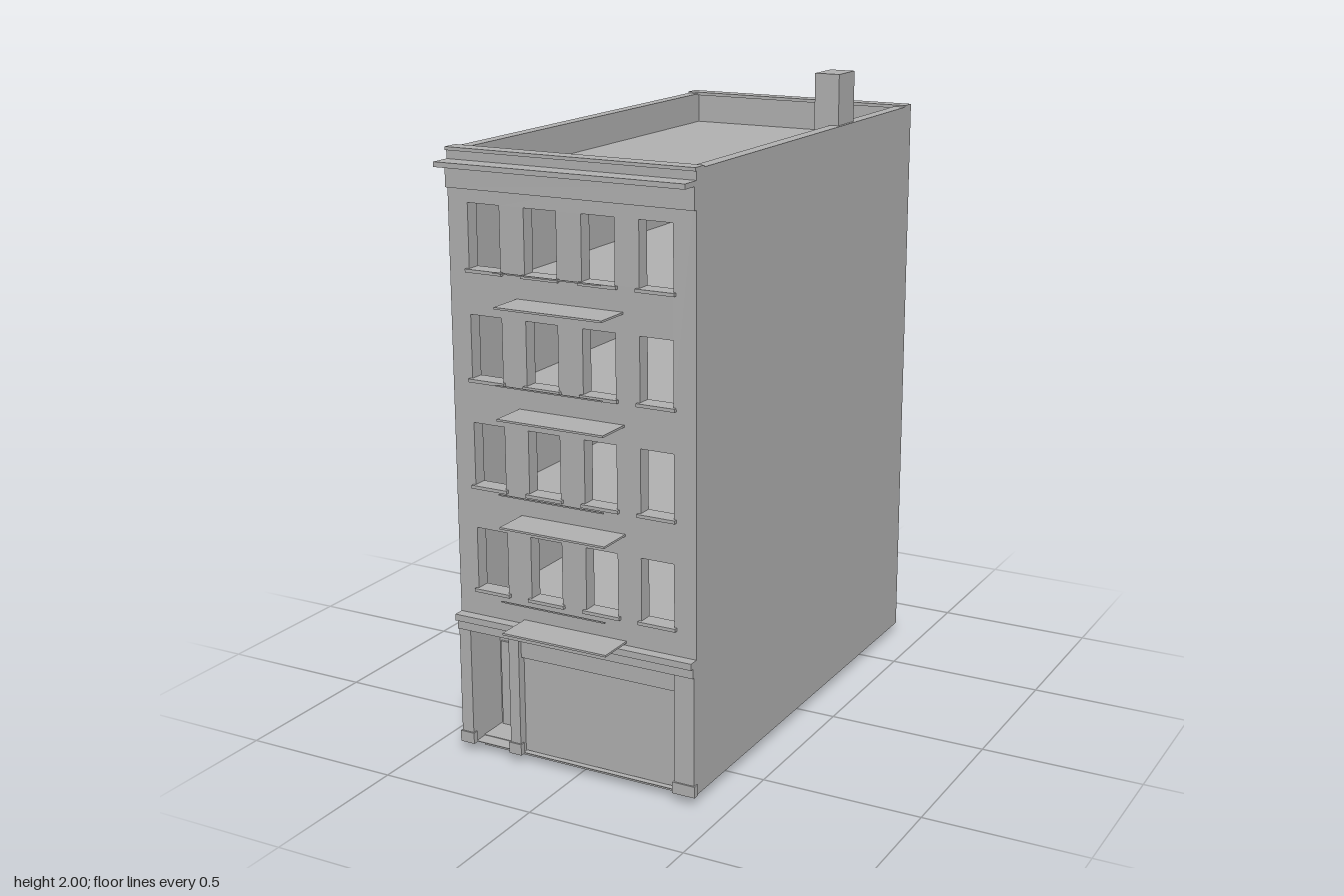
import * as THREE from 'three';

export function createModel() {
  const model = new THREE.Group();
  model.name = 'apartmentBuilding';
  const stone = new THREE.MeshStandardMaterial({ color: 0xb2b2b2 });
  stone.name = 'grey stone';

  function add(name, geometry) {
    const mesh = new THREE.Mesh(geometry, stone);
    mesh.name = name;
    model.add(mesh);
    return mesh;
  }
  // Box given by its limits on each axis
  function box(name, x0, x1, y0, y1, z0, z1) {
    const g = new THREE.BoxGeometry(x1 - x0, y1 - y0, z1 - z0);
    g.translate((x0 + x1) / 2, (y0 + y1) / 2, (z0 + z1) / 2);
    return add(name, g);
  }
  // Wall with rectangular openings [x0, x1, y0, y1]
  function wall(name, openings, z, depth) {
    const shape = new THREE.Shape([[-0.4, 0.03], [0.4, 0.03], [0.4, 1.845], [-0.4, 1.845]]
      .map(p => new THREE.Vector2(...p)));
    for (const [x0, x1, y0, y1] of openings) {
      shape.holes.push(new THREE.Path([[x0, y0], [x0, y1], [x1, y1], [x1, y0]]
        .map(p => new THREE.Vector2(...p))));
    }
    const g = new THREE.ExtrudeGeometry(shape, { depth, bevelEnabled: false });
    g.translate(0, 0, z);
    return add(name, g);
  }

  const columns = [-0.281, -0.094, 0.093, 0.276];
  const sills = [0.535, 0.858, 1.181, 1.505];
  const floors = [0.46, 0.785, 1.107, 1.43];
  const windows = [];
  for (const y of sills) for (const x of columns) windows.push([x - 0.053, x + 0.053, y, y + 0.19]);

  // Outer walls
  wall('frontWall', [...windows, [-0.36, -0.225, 0.032, 0.4], [-0.19, 0.335, 0.032, 0.34]], 0.69, 0.045);
  const rearGround = columns.slice(1).map(x => [x - 0.053, x + 0.053, 0.13, 0.32]);
  wall('backWall', [...windows, ...rearGround, [-0.33, -0.225, 0.032, 0.3]], -0.755, 0.045);
  box('rightWall', -0.4, -0.362, 0.03, 1.845, -0.71, 0.69);
  box('leftWall', 0.362, 0.4, 0.03, 1.845, -0.71, 0.69);

  // Ground slab, storey floors and roof
  box('groundSlab', -0.362, 0.362, 0, 0.034, -0.71, 0.69);
  for (const y of floors) box('floorSlab', -0.362, 0.362, y - 0.02, y, -0.71, 0.69);
  box('roof', -0.362, 0.362, 1.73, 1.75, -0.71, 0.69);
  box('frontCoping', -0.4, 0.4, 1.84, 1.85, 0.69, 0.742);
  box('backCoping', -0.4, 0.4, 1.84, 1.85, -0.755, -0.705);
  box('chimney', 0.31, 0.39, 1.74, 2, -0.312, -0.198);

  // Front bands and cornices
  box('frieze', -0.4, 0.4, 1.735, 1.8, 0.735, 0.746);
  box('cornice', -0.4, 0.4, 1.8, 1.815, 0.735, 0.8);
  box('shopFrieze', -0.4, 0.4, 0.4, 0.43, 0.735, 0.756);
  box('shopCornice', -0.4, 0.4, 0.43, 0.45, 0.735, 0.768);

  // Window sills
  for (const y of sills) for (const x of columns) {
    box('windowSill', x - 0.061, x + 0.061, y - 0.01, y, 0.735, 0.746);
  }

  // Pilasters with base blocks
  for (const [x0, x1] of [[-0.4, -0.36], [-0.225, -0.19], [0.335, 0.4]]) {
    box('pilaster', x0, x1, 0.03, 0.4, 0.735, 0.749);
    box('pilasterBase', x0 - 0.004, x1 + 0.004, 0.03, 0.065, 0.735, 0.754);
  }

  // Shopfront and recessed entry
  box('shopPanel', -0.19, 0.335, 0.034, 0.34, 0.705, 0.72);
  box('entrySideWall', -0.225, -0.205, 0.034, 0.44, 0.58, 0.69);
  box('entryBackWall', -0.362, -0.205, 0.034, 0.44, 0.57, 0.59);
  box('entryDoor', -0.355, -0.238, 0.034, 0.31, 0.59, 0.597);

  // Balcony plates front and back, with a slim front rail
  for (const y of floors) {
    box('frontBalcony', -0.175, 0.172, y - 0.003, y + 0.003, 0.735, 0.853);
    box('balconyRail', -0.175, 0.172, y + 0.099, y + 0.103, 0.851, 0.855);
    box('backBalcony', 0.012, 0.358, y - 0.003, y + 0.003, -0.855, -0.755);
  }

  return model;
}
